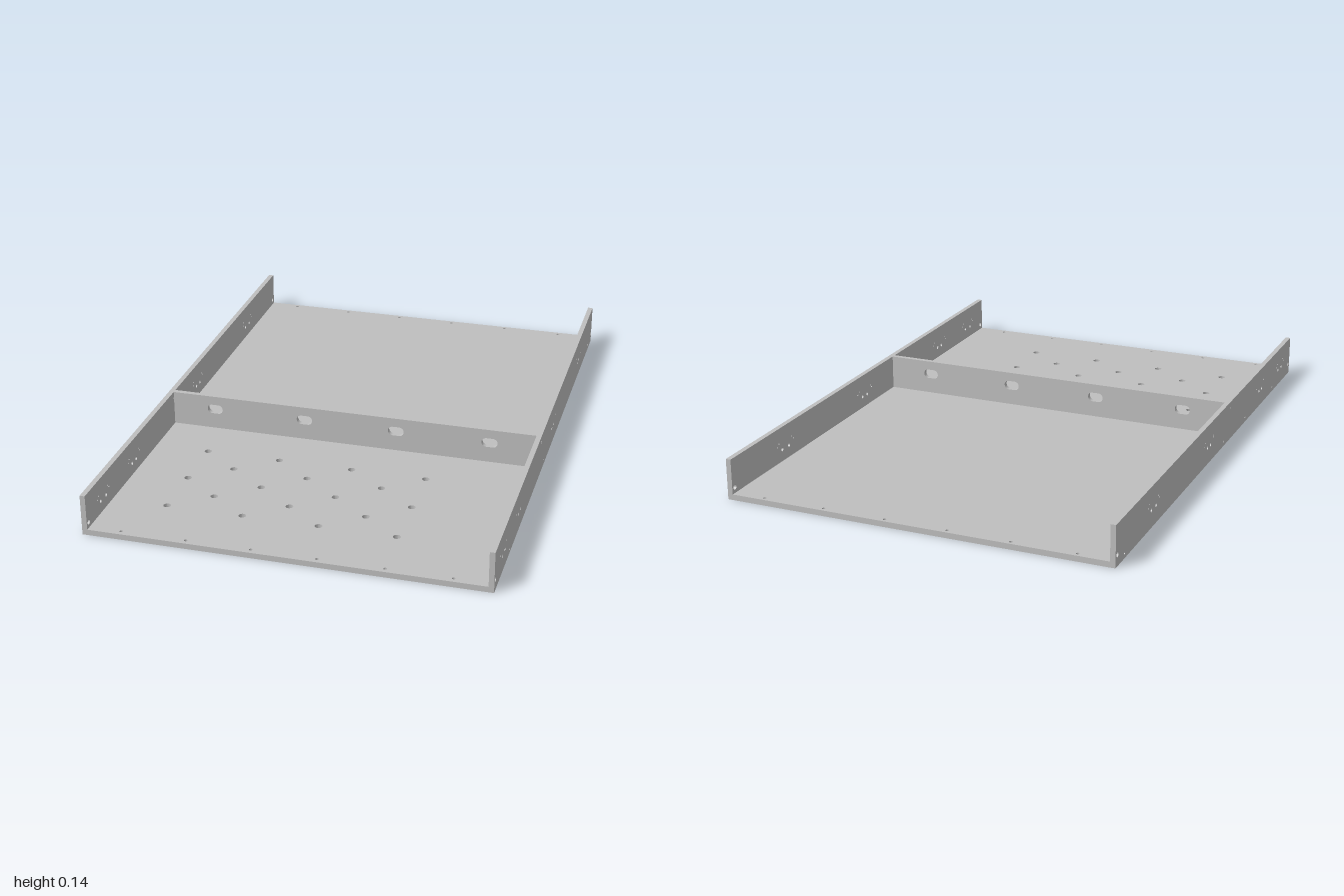
import * as THREE from 'three';

const HALF_W = 0.69, HEIGHT = 0.145, WALL = 0.018, FLOOR = 0.02;

// Flat panel outline with round holes given as [x, y, radius]
function panelShape(x0, y0, x1, y1, holes = []) {
  const s = new THREE.Shape();
  s.moveTo(x0, y0).lineTo(x1, y0).lineTo(x1, y1).lineTo(x0, y1).closePath();
  for (const [x, y, r] of holes) {
    s.holes.push(new THREE.Path().absarc(x, y, r, 0, Math.PI * 2, true));
  }
  return s;
}

function extrude(shape, depth) {
  return new THREE.ExtrudeGeometry(shape, { depth, bevelEnabled: false, curveSegments: 8 });
}

export function createModel() {
  const group = new THREE.Group();
  const steel = new THREE.MeshStandardMaterial({ color: 0xbfbfbf });
  steel.name = 'light grey';
  const add = (name, geometry) => {
    const mesh = new THREE.Mesh(geometry, steel);
    mesh.name = name;
    group.add(mesh);
    return mesh;
  };
  const inner = HALF_W - WALL;

  // Floor: staggered vent holes, screw holes on both end edges and under the divider
  const floorHoles = [];
  [0.37, 0.473, 0.575, 0.677, 0.778].forEach((z, row) => {
    const xs = row % 2 ? [-0.345, -0.077, 0.19] : [-0.477, -0.21, 0.055, 0.322];
    for (const x of xs) floorHoles.push([x, -z, 0.013]);
  });
  for (const x of [-0.56, -0.335, -0.113, 0.11, 0.335, 0.557]) {
    floorHoles.push([x, -0.98, 0.006], [x, 0.984, 0.006]);
  }
  for (const x of [-0.475, -0.16, 0.155, 0.47]) floorHoles.push([x, -0.177, 0.005]);
  const floor = extrude(panelShape(-inner, -1, inner, 1, floorHoles), FLOOR);
  floor.rotateX(-Math.PI / 2);
  add('floor', floor);

  // Side walls, drawn in z and y: groups of bracket holes plus edge and end screws
  const wallHoles = [[0.984, 0.04, 0.009], [-0.983, 0.04, 0.009]];
  for (const [z, mid, outer] of [
    [0.856, 0.023, 0.045], [0.582, 0.018, 0.049], [-0.065, 0.018, 0.049], [-0.65, 0.023, 0.048],
  ]) {
    for (const side of [-1, 1]) {
      wallHoles.push([z + side * mid, 0.063, 0.007]);
      wallHoles.push([z + side * (outer - 0.005), 0.09, 0.003]);
      wallHoles.push([z + side * (outer + 0.005), 0.08, 0.003]);
    }
  }
  for (const z of [0.753, 0.383, 0.115, -0.92]) wallHoles.push([z, 0.017, 0.004]);
  for (const z of [0.179, 0.19]) wallHoles.push([z, 0.122, 0.003]);
  const wall = extrude(panelShape(-1, 0, 1, HEIGHT, wallHoles), WALL);
  wall.rotateY(-Math.PI / 2);
  add('leftWall', wall).position.x = HALF_W;
  add('rightWall', wall).position.x = -inner;

  // Divider with four rounded cable slots
  const divider = panelShape(-inner, FLOOR, inner, HEIGHT);
  const r = 0.017, half = 0.012, y = 0.095;
  for (const x of [-0.513, -0.173, 0.167, 0.507]) {
    const slot = new THREE.Path();
    slot.absarc(x + half, y, r, -Math.PI / 2, Math.PI / 2, false);
    slot.absarc(x - half, y, r, Math.PI / 2, Math.PI * 1.5, false);
    slot.closePath();
    divider.holes.push(slot);
  }
  add('divider', extrude(divider, WALL)).position.z = 0.168;

  return group;
}
